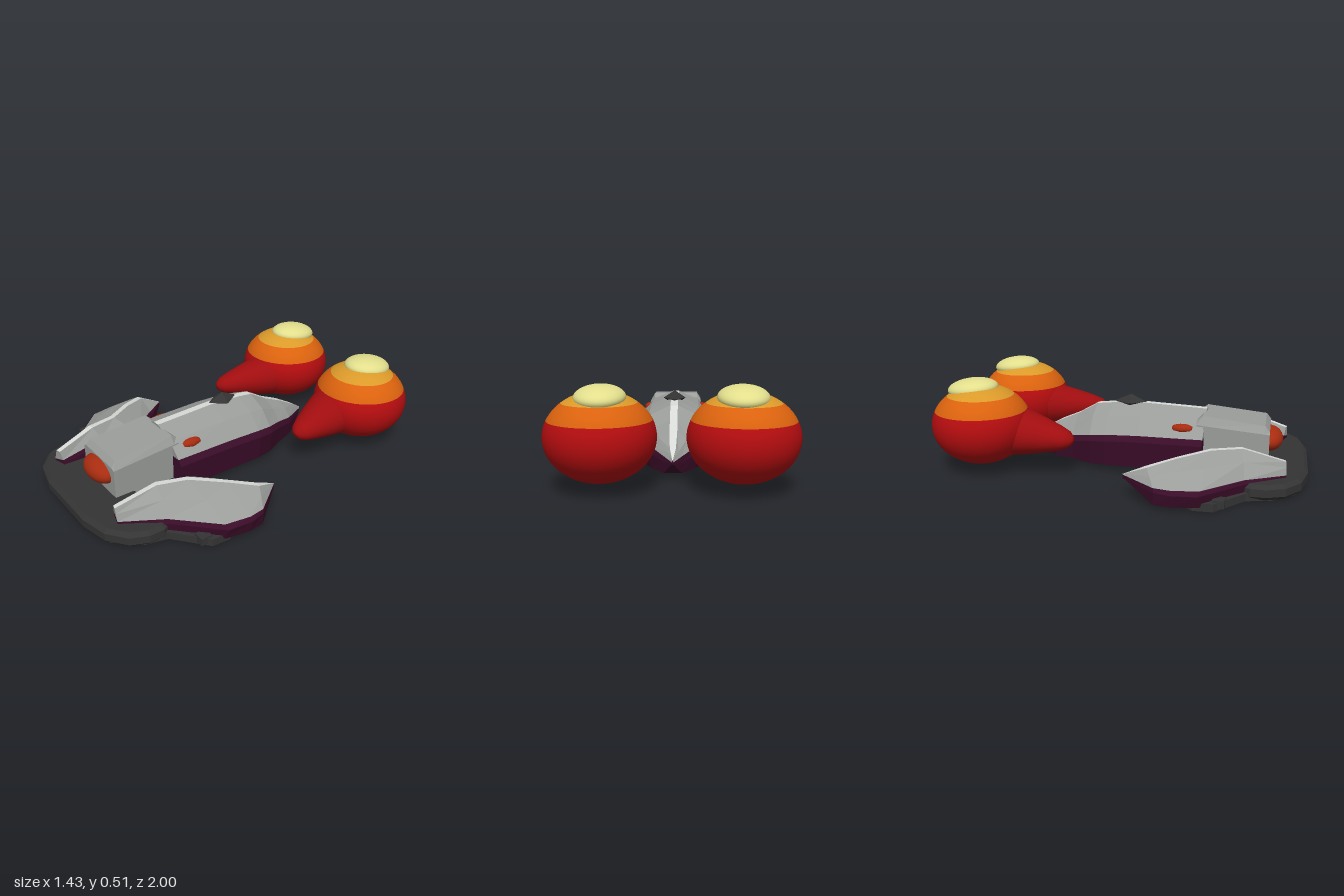
import * as THREE from 'three';

const mat = (name, color, double) => {
  const m = new THREE.MeshStandardMaterial({ color });
  m.name = name;
  if (double) m.side = THREE.DoubleSide;
  return m;
};
const flat = (m) => { m.flatShading = true; return m; };

// Skin between rows of points; rows run back to front, points run from -x over the top to +x
function loft(rows, capped = false) {
  const pos = [];
  const tri = (a, b, c) => pos.push(...a, ...b, ...c);
  for (let i = 0; i < rows.length - 1; i++) {
    for (let j = 0; j < rows[i].length - 1; j++) {
      const a = rows[i][j], b = rows[i + 1][j], c = rows[i + 1][j + 1], d = rows[i][j + 1];
      tri(a, b, c);
      tri(a, c, d);
    }
  }
  if (capped) {
    const f = rows[rows.length - 1], k = rows[0];
    for (let j = 1; j < f.length - 1; j++) {
      tri(f[0], f[j + 1], f[j]);
      tri(k[0], k[j], k[j + 1]);
    }
  }
  const g = new THREE.BufferGeometry();
  g.setAttribute('position', new THREE.Float32BufferAttribute(pos, 3));
  g.computeVertexNormals();
  return g;
}
const mirrorRows = (rows) => rows.map((r) => r.map(([x, y, z]) => [-x, y, z]).reverse());

// Flat slab from half an outline of [x, z] points
function slab(half, top, bottom, bevel) {
  const pts = [...half, ...half.slice().reverse().map(([x, z]) => [-x, z])];
  const shape = new THREE.Shape(pts.map(([x, z]) => new THREE.Vector2(x, z)));
  const g = new THREE.ExtrudeGeometry(shape, {
    depth: top - bottom - 2 * bevel, bevelEnabled: bevel > 0, bevelSize: bevel,
    bevelThickness: bevel, bevelOffset: -bevel, bevelSegments: 1,
  });
  g.rotateX(Math.PI / 2);
  g.translate(0, top - bevel, 0);
  return g;
}

export function createModel() {
  const model = new THREE.Group();
  model.name = 'hoverCraft';
  const grey = flat(mat('hull grey', 0x9a9d9a, true));
  const pale = flat(mat('ridge pale grey', 0xd6d9d6, true));
  const plum = flat(mat('hull plum', 0x3a0c28, true));
  const dark = flat(mat('base charcoal', 0x343434));
  const lamp = mat('lamp red', 0xa82c10);
  const red = mat('orb red', 0xb50d0f);
  const deepRed = mat('funnel red', 0xa00d0f);
  const orange = mat('orb orange', 0xda620e);
  const amber = mat('orb amber', 0xdb9a2a);
  const cream = mat('dome cream', 0xe2de8c);

  const add = (name, geo, m, x = 0, y = 0, z = 0, parent = model) => {
    const mesh = new THREE.Mesh(geo, m);
    mesh.name = name;
    mesh.position.set(x, y, z);
    parent.add(mesh);
    return mesh;
  };

  // Base: thick rounded front pad and a thin plate reaching under the wings
  add('frontPad', slab([[0.2, 1], [0.36, 0.965], [0.46, 0.89], [0.5, 0.8], [0.5, 0.72], [0.47, 0.67]],
    0.085, 0.005, 0.02), dark);
  add('basePlate', slab([[0.2, 0.975], [0.36, 0.94], [0.47, 0.82], [0.5, 0.7], [0.67, 0.56], [0.675, 0.46], [0.58, 0.36]],
    0.04, 0, 0), dark);
  add('rearDeck', slab([[0.31, 0.66], [0.31, 0.36]], 0.07, 0.01, 0), dark);

  // Central fuselage stations: z, half width, plum edge height, ridge height, bottom height
  const stations = [
    [-0.57, 0.004, 0.1, 0.11, 0.09],
    [-0.5, 0.05, 0.115, 0.155, 0.03],
    [-0.39, 0.125, 0.14, 0.215, 0.03],
    [-0.28, 0.165, 0.165, 0.262, 0.03],
    [-0.17, 0.22, 0.19, 0.325, 0.03],
    [-0.08, 0.235, 0.2, 0.335, 0.03],
    [0.1, 0.235, 0.205, 0.343, 0.03],
    [0.45, 0.235, 0.205, 0.328, 0.03],
  ];
  const ridge = (w) => Math.min(0.02, w * 0.3);
  const leftTop = stations.map(([z, w, e, r]) => [
    [ridge(w), r, z], [w * 0.58, e + (r - e) * 0.62, z], [w * 0.9, e, z]]);
  add('fuselageTopLeft', loft(leftTop), grey);
  add('fuselageTopRight', loft(mirrorRows(leftTop)), grey);
  add('fuselageRidge', loft(stations.map(([z, w, , r]) => [[-ridge(w), r, z], [ridge(w), r, z]])), pale);
  add('fuselageHull', loft(stations.map(([z, w, e, r, b]) => {
    const lip = Math.max(b, e - 0.03);
    return [[w * 0.9, e, z], [w, lip, z], [w * 0.93, b, z],
      [-w * 0.93, b, z], [-w, lip, z], [-w * 0.9, e, z]];
  }), true), plum);
  const [fz, fw, fe, fr] = stations[stations.length - 1];
  const bulkhead = new THREE.Shape([[-fw * 0.9, fe], [fw * 0.9, fe], [fw * 0.58, fe + (fr - fe) * 0.62],
    [0.02, fr], [-0.02, fr], [-fw * 0.58, fe + (fr - fe) * 0.62]].map(([x, y]) => new THREE.Vector2(x, y)));
  add('fuselageBulkhead', new THREE.ShapeGeometry(bulkhead), grey, 0, 0, fz);

  // Dark crystal on the ridge
  add('crystal', new THREE.OctahedronGeometry(1), dark, 0, 0.342, 0.02).scale.set(0.062, 0.043, 0.092);

  // Front cabin with chamfered sloping roof
  const cabinRow = (z, w, top, shoulder, inset) => [
    [-w, 0.07, z], [-w, shoulder, z], [-w + inset, top, z], [w - inset, top, z], [w, shoulder, z], [w, 0.07, z], [-w, 0.07, z]];
  add('cabin', loft([
    cabinRow(0.41, 0.155, 0.29, 0.27, 0.025),
    cabinRow(0.44, 0.157, 0.315, 0.268, 0.025),
    cabinRow(0.77, 0.16, 0.282, 0.242, 0.025),
    cabinRow(0.795, 0.16, 0.25, 0.24, 0.02),
  ], true), grey);
  add('frontLamp', new THREE.SphereGeometry(1, 32, 20), lamp, 0, 0.18, 0.79).scale.set(0.125, 0.065, 0.075);

  // Wing stations: outer [x, z], inner [x, z], ridge [x, z], heights of outer edge, inner edge, ridge, bottom
  const wing = [
    [[0.562, 0.1], [0.558, 0.1], [0.56, 0.1], 0.112, 0.112, 0.115, 0.1],
    [[0.7, 0.28], [0.46, 0.21], [0.585, 0.22], 0.105, 0.115, 0.17, 0.02],
    [[0.717, 0.36], [0.345, 0.335], [0.5, 0.36], 0.102, 0.135, 0.198, 0.02],
    [[0.7, 0.49], [0.29, 0.42], [0.385, 0.52], 0.1, 0.15, 0.215, 0.02],
    [[0.49, 0.69], [0.278, 0.63], [0.345, 0.67], 0.1, 0.16, 0.222, 0.02],
    [[0.355, 0.89], [0.28, 0.87], [0.312, 0.885], 0.095, 0.11, 0.158, 0.06],
  ];
  const strips = { inner: [], stripe: [], outer: [], hull: [] };
  const mix = (a, b, t) => a.map((v, i) => v + (b[i] - v) * t);
  for (const [o, n, r, oy, ny, ry, by] of wing) {
    const O = [o[0], oy - 0.02, o[1]], N = [n[0], ny - 0.02, n[1]], R = [r[0], ry, r[1]];
    const step = (E, s) => mix(R, [E[0], ry, E[2]], Math.min(0.35, s / (Math.hypot(E[0] - R[0], E[2] - R[2]) + 1e-4)));
    const ri = step(N, 0.016), ro = step(O, 0.016);
    const oTop = mix([O[0], oy, O[2]], [R[0], oy, R[2]], 0.08);
    const nTop = mix([N[0], ny, N[2]], [R[0], ny, R[2]], 0.15);
    const mid = mix(ro, oTop, 0.5);
    mid[1] += (ry - oy) * 0.08;
    const ob = mix([O[0], by, O[2]], [R[0], by, R[2]], 0.06);
    strips.inner.push([nTop, ri]);
    strips.stripe.push([ri, ro]);
    strips.outer.push([ro, mid, oTop]);
    strips.hull.push([oTop, O, ob, [N[0], by, N[2]], N, nTop]);
  }
  const tip = [strips.inner, strips.outer].map((s) => s[s.length - 1]);
  const noseRow = [...tip[0], ...tip[1]];

  for (const side of [1, -1]) {
    const half = new THREE.Group();
    half.name = side > 0 ? 'leftSide' : 'rightSide';
    model.add(half);
    const rows = (r) => (side > 0 ? r : mirrorRows(r));
    add('wingInnerTop', loft(rows(strips.inner)), grey, 0, 0, 0, half);
    add('wingRidge', loft(rows(strips.stripe)), pale, 0, 0, 0, half);
    add('wingOuterTop', loft(rows(strips.outer)), grey, 0, 0, 0, half);
    add('wingHull', loft(rows(strips.hull), true), plum, 0, 0, 0, half);
    const base = noseRow.map((p, i) => mix(noseRow[0], noseRow[noseRow.length - 1], i / (noseRow.length - 1)));
    add('wingNose', loft(rows([noseRow, base])), grey, 0, 0, 0, half);
    add('wingFoot', new THREE.BoxGeometry(0.06, 0.04, 0.06), dark, side * 0.62, 0.03, 0.58, half);

    // Small side lamp beside the ridge
    add('sideLamp', new THREE.SphereGeometry(1, 8, 6), lamp, side * 0.155, 0.247, 0.335, half)
      .scale.set(0.034, 0.025, 0.066);

    // Banded orb
    const cuts = [0, Math.acos(0.16 / 0.215), Math.acos(0.08 / 0.215), Math.PI];
    [['orbCap', amber], ['orbBand', orange], ['orbBody', red]].forEach(([name, m], i) => {
      const g = new THREE.SphereGeometry(1, 40, i === 2 ? 24 : 8, 0, Math.PI * 2, cuts[i], cuts[i + 1] - cuts[i]);
      add(name, g, m, side * 0.333, 0.26, -0.735, half).scale.set(0.265, 0.215, 0.265);
    });
    const dome = add('orbDome', new THREE.SphereGeometry(1, 32, 20), cream, side * 0.325, 0.45, -0.78, half);
    dome.scale.set(0.12, 0.056, 0.138);
    dome.rotation.x = -0.1;

    // Tapering funnel reaching forward from the orb
    const from = new THREE.Vector3(side * 0.305, 0.222, -0.56);
    const dir = new THREE.Vector3(side * 0.372, 0.205, -0.21).sub(from);
    const len = dir.length();
    const profile = [[0.15, 0], [0.14, 0.17], [0.112, 0.45], [0.08, 0.73], [0.055, 0.9], [0.028, 0.98], [0, 1]]
      .map(([r, t]) => new THREE.Vector2(r, t * len));
    const funnel = add('orbFunnel', new THREE.LatheGeometry(profile, 28), deepRed, from.x, from.y, from.z, half);
    funnel.quaternion.setFromUnitVectors(new THREE.Vector3(0, 1, 0), dir.normalize());
    funnel.scale.set(1, 1, 0.86);
  }
  return model;
}
